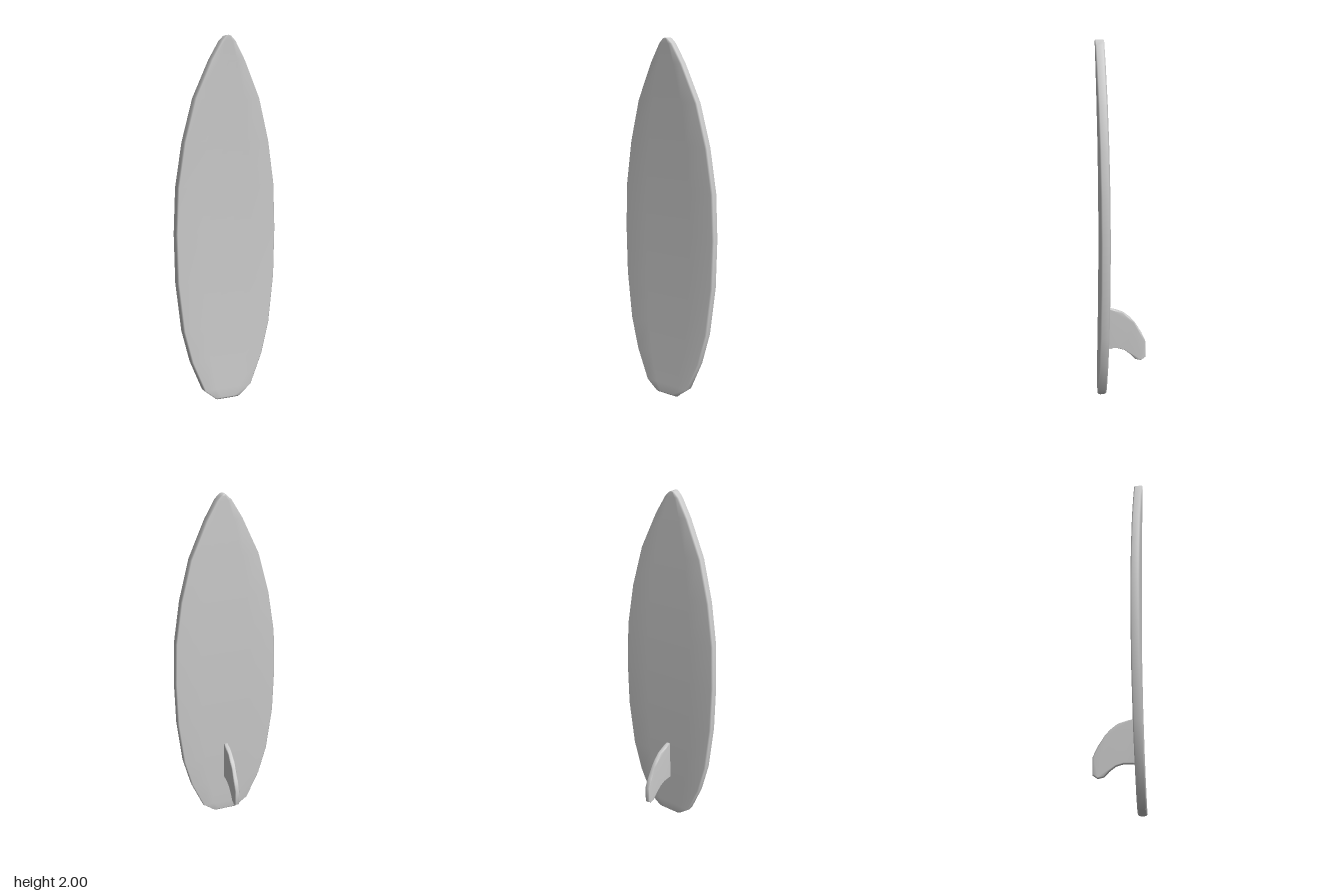
import * as THREE from 'three';
import { mergeVertices } from 'three/addons/utils/BufferGeometryUtils.js';

const material = new THREE.MeshStandardMaterial({ color: 0xcccccc });

// Outline from tail to nose: height, half width, thickness
const ROWS = [
  [0, 0.07, 0.036], [0.01, 0.08, 0.05], [0.06, 0.143, 0.05], [0.23, 0.214, 0.05],
  [0.41, 0.26, 0.05], [0.68, 0.291, 0.05], [0.95, 0.297, 0.05], [1.2, 0.287, 0.05],
  [1.44, 0.25, 0.05], [1.67, 0.19, 0.05], [1.87, 0.1, 0.05], [1.97, 0.042, 0.05],
  [1.995, 0.016, 0.05], [2, 0.005, 0.044],
];

// Closed section with small chamfers along the rails, running from +x towards +z
function section([y, w, t]) {
  const z = 0.0955 + 0.021 * (y - 1) ** 2; // rocker: both ends curve forward
  const h = t / 2;
  const c = Math.min(0.008, w * 0.3);
  const half = [[w, -h + c], [w, h - c], [w - c, h], [w * 0.5, h], [0, h]];
  const front = [...half, ...half.slice(2, 4).reverse().map(([x, d]) => [-x, d])];
  const back = [[-w, h - c], [-w, -h + c], [c - w, -h], [-w * 0.5, -h], [0, -h], [w * 0.5, -h], [w - c, -h]];
  return [...front, ...back].map(([x, d]) => [x, y, z + d]);
}

function boardGeometry() {
  const loops = ROWS.map(section);
  const n = loops[0].length;
  const index = [];
  for (let i = 0; i < loops.length - 1; i++) {
    for (let j = 0; j < n; j++) {
      const k = (j + 1) % n;
      const a = i * n + j, b = i * n + k;
      index.push(a, a + n, b, b, a + n, b + n);
    }
  }
  // Tail and nose caps
  const top = (loops.length - 1) * n;
  for (let j = 1; j < n - 1; j++) {
    index.push(0, j, j + 1, top, top + j + 1, top + j);
  }
  const geometry = new THREE.BufferGeometry();
  geometry.setAttribute('position', new THREE.Float32BufferAttribute(loops.flat(2), 3));
  geometry.setIndex(index);
  geometry.computeVertexNormals();
  return geometry;
}

// Swept-back fin: profile as distance behind the centre and height
function finGeometry() {
  const profile = [
    [-0.095, 0.26], [-0.07, 0.262], [-0.02, 0.262], [0.02, 0.25], [0.056, 0.222], [0.083, 0.193],
    [0.113, 0.186], [0.135, 0.202], [0.135, 0.294], [0.111, 0.347], [0.072, 0.41],
    [0.045, 0.44], [0.008, 0.47], [-0.04, 0.487], [-0.07, 0.494], [-0.095, 0.495],
  ].map(([x, y]) => new THREE.Vector2(x, y));
  let geometry = new THREE.ExtrudeGeometry(new THREE.Shape(profile), {
    depth: 0.016, bevelEnabled: true, bevelThickness: 0.005, bevelSize: 0.005, bevelSegments: 1,
  });
  geometry.translate(0, 0, -0.008);
  geometry.rotateY(Math.PI / 2);
  // Weld for smooth shading
  geometry.deleteAttribute('uv');
  geometry.deleteAttribute('normal');
  geometry = mergeVertices(geometry);
  geometry.computeVertexNormals();
  return geometry;
}

export function createModel() {
  const model = new THREE.Group();
  model.name = 'surfboard';
  const board = new THREE.Mesh(boardGeometry(), material);
  board.name = 'board';
  const fin = new THREE.Mesh(finGeometry(), material);
  fin.name = 'fin';
  model.add(board, fin);
  return model;
}
